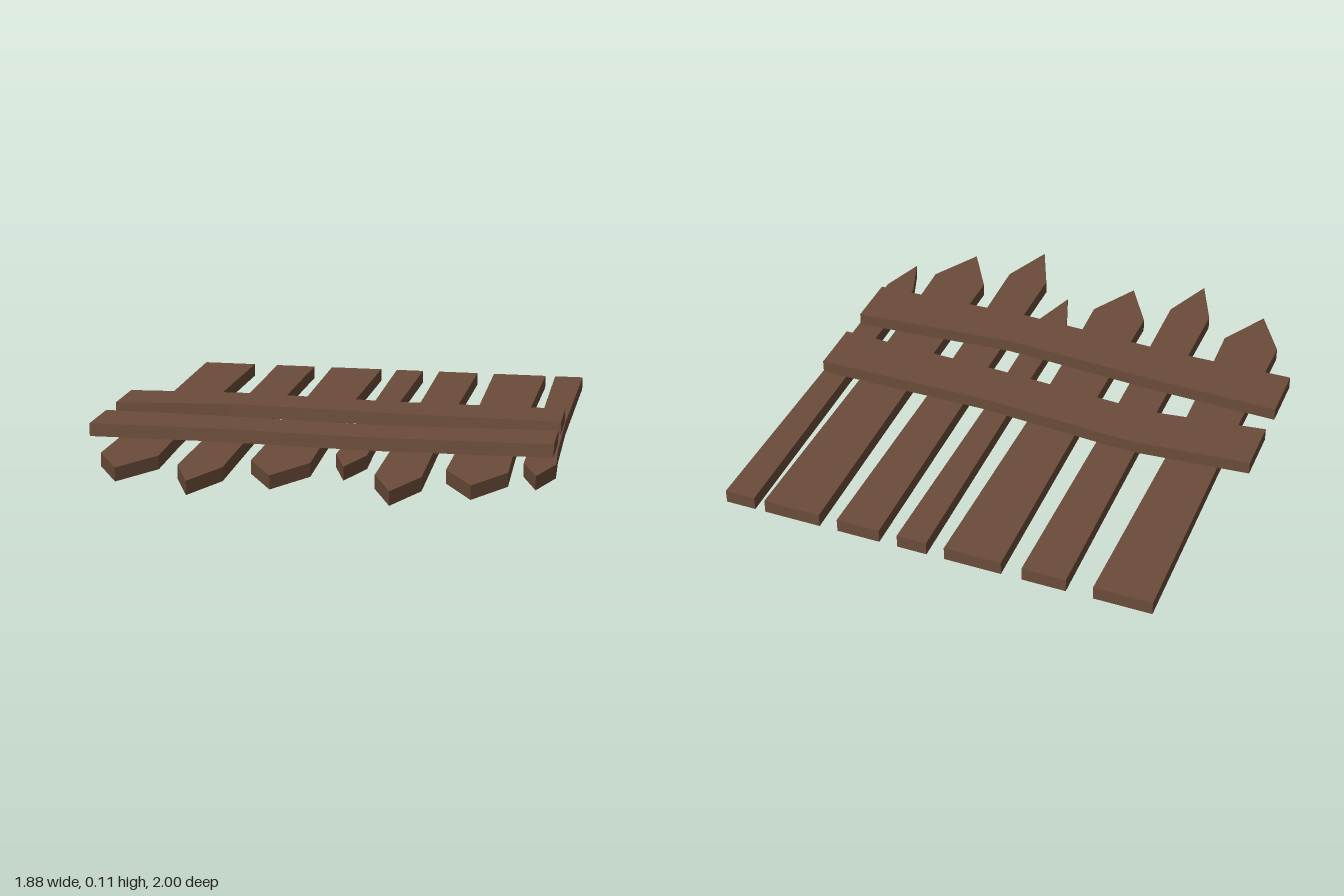
import * as THREE from 'three';

const T = 0.055; // board thickness

// Extrudes an outline of [x, z] points into a flat board lying on height y
function board(name, outline, y, height, material) {
  const shape = new THREE.Shape(outline.map(([x, z]) => new THREE.Vector2(x, z)));
  const geo = new THREE.ExtrudeGeometry(shape, { depth: height, bevelEnabled: false });
  geo.rotateX(Math.PI / 2);
  geo.translate(0, y + height, 0);
  const mesh = new THREE.Mesh(geo, material);
  mesh.name = name;
  return mesh;
}

export function createModel() {
  const group = new THREE.Group();
  group.name = 'picketFence';
  const wood = new THREE.MeshStandardMaterial({ color: 0x6b4c39 });
  wood.name = 'brownWood';

  // Pickets: left edge, right edge, shoulder z, tip z, waist insets
  const pickets = [
    [-0.82, -0.587, 0.67, 0.87, 0.008, 0.015],
    [-0.48, -0.303, 0.79, 1.0, 0.004, 0.008],
    [-0.22, 0.012, 0.67, 0.87, 0.006, 0.015],
    [0.085, 0.207, 0.52, 0.7, 0.004, 0.014],
    [0.282, 0.459, 0.79, 1.0, 0.004, 0.012],
    [0.535, 0.77, 0.67, 0.87, 0.006, 0.014],
    [0.814, 0.938, 0.52, 0.7, 0.003, 0.014],
  ];
  pickets.forEach(([l, r, shoulder, tip, insetL, insetR], i) => {
    group.add(board(`picket${i + 1}`, [
      [l, -1], [r, -1], [r - insetR, -0.15], [r - insetR * 0.7, 0.3], [r, shoulder],
      [(l + r) / 2, tip],
      [l, shoulder], [l + insetL * 0.7, 0.3], [l + insetL, -0.15],
    ], 0, T, wood));
  });

  // Crooked cross rails laid over the pickets
  group.add(board('backRail', [
    [-0.94, -0.165], [-0.47, -0.203], [-0.35, -0.198], [0.2, -0.16], [0.92, -0.165],
    [0.92, 0.065], [0.2, 0.043], [-0.35, 0.01], [-0.47, 0.005], [-0.94, 0.063],
  ], T, 0.053, wood));
  group.add(board('frontRail', [
    [-0.94, 0.2], [-0.42, 0.212], [0.12, 0.245], [0.25, 0.25], [0.92, 0.2],
    [0.92, 0.425], [0.25, 0.449], [0.12, 0.447], [-0.42, 0.422], [-0.94, 0.43],
  ], T, 0.053, wood));

  return group;
}
